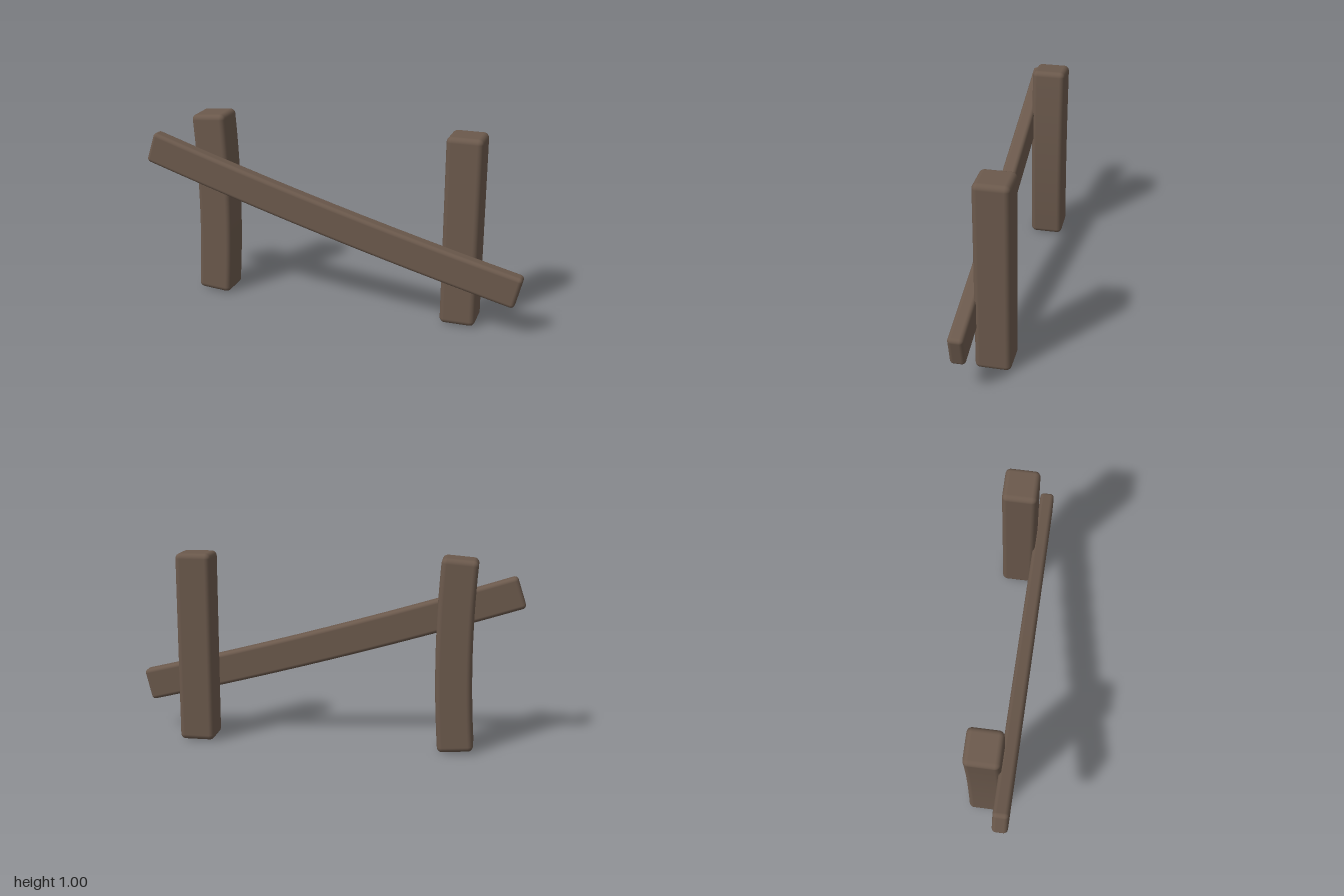
import * as THREE from 'three';

const BEVEL = 3; // segments across each rounded edge

// Box with rounded edges, subdivided along its length (x) so that it can be bowed
// sideways: its middle moves by `bow` in y while the ends stay in place.
function createBeam(length, height, depth, radius, bow) {
  const spans = [12, 1, 1]; // flat segments per axis between the rounded edges
  const size = [length, height, depth];
  const segs = spans.map((s) => s + 2 * BEVEL);
  const geo = new THREE.BoxGeometry(...size, ...segs);
  const pos = geo.attributes.position;
  const nor = geo.attributes.normal;
  const core = new THREE.Vector3();
  const dir = new THREE.Vector3();

  for (let i = 0; i < pos.count; i++) {
    for (let a = 0; a < 3; a++) {
      const inner = size[a] / 2 - radius;
      const index = Math.round((pos.getComponent(i, a) / size[a] + 0.5) * segs[a]);
      const edge = Math.min(index, segs[a] - index);
      const sign = index * 2 < segs[a] ? -1 : 1;
      if (edge < BEVEL) {
        core.setComponent(a, sign * inner);
        dir.setComponent(a, sign * Math.tan((1 - edge / BEVEL) * Math.PI / 4));
      } else {
        core.setComponent(a, ((index - BEVEL) / spans[a] * 2 - 1) * inner);
        dir.setComponent(a, 0);
      }
    }
    dir.normalize();
    const p = core.addScaledVector(dir, radius);

    // Bow along a parabola, keeping the cross-sections square to the curve
    const t = p.x / (length / 2);
    const slope = -4 * bow * t / length;
    pos.setXYZ(i, p.x - p.y * slope, p.y + bow * (1 - t * t), p.z);
    nor.setXYZ(i, dir.x - dir.y * slope, dir.y + dir.x * slope, dir.z);
  }
  geo.normalizeNormals();
  return geo;
}

export function createModel() {
  const group = new THREE.Group();
  const wood = new THREE.MeshStandardMaterial({ color: 0x6b594c });

  const addBeam = (name, geometry, x, y, z, angle) => {
    const mesh = new THREE.Mesh(geometry, wood);
    mesh.name = name;
    mesh.position.set(x, y, z);
    mesh.rotation.z = angle;
    group.add(mesh);
  };

  // Upright posts: one straight, one slightly bowed towards the middle
  const height = 0.985;
  addBeam('leftPost', createBeam(height, 0.182, 0.176, 0.027, 0), 0.672, height / 2, -0.032, Math.PI / 2);
  addBeam('rightPost', createBeam(height, 0.182, 0.176, 0.027, -0.02), -0.677, height / 2, -0.032, Math.PI / 2);

  // Sloping, slightly sagging rail across the front of the posts
  addBeam('rail', createBeam(2.046, 0.167, 0.076, 0.02, -0.02), 0, 0.523, 0.082, -0.278);

  return group;
}
